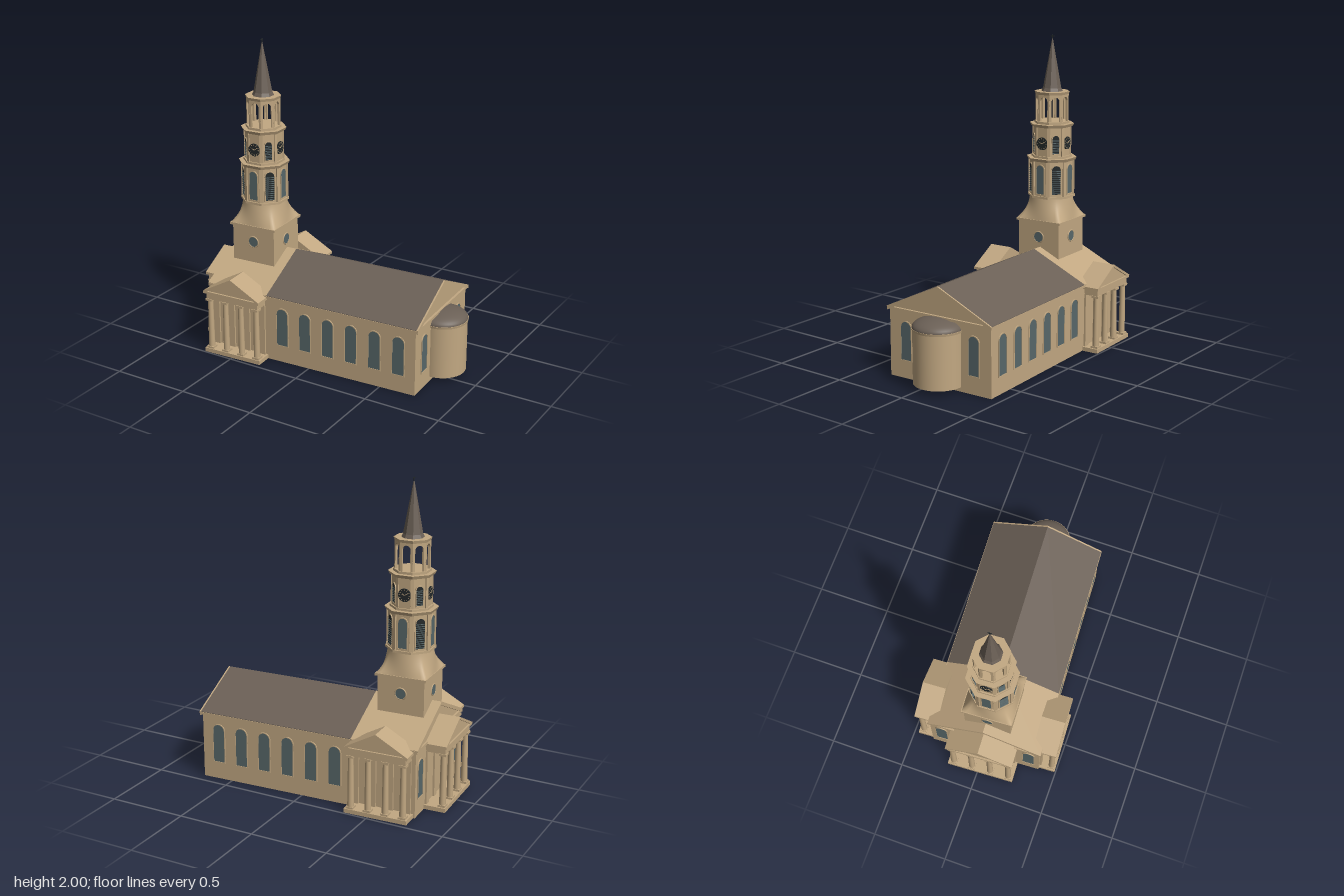
import * as THREE from 'three';

const stone = new THREE.MeshStandardMaterial({ color: 0xc2a882 });
stone.name = 'tan stone';
const slate = new THREE.MeshStandardMaterial({ color: 0x6b6056 });
slate.name = 'dark roof';
const glass = new THREE.MeshStandardMaterial({ color: 0x58686a });
glass.name = 'grey glass';
const dark = new THREE.MeshStandardMaterial({ color: 0x24292a });
dark.name = 'dark louver';

function add(parent, name, geo, mat, x = 0, y = 0, z = 0) {
  const m = new THREE.Mesh(geo, mat);
  m.name = name;
  m.position.set(x, y, z);
  parent.add(m);
  return m;
}

// Box given by its limits
function box(parent, name, mat, x0, x1, y0, y1, z0, z1) {
  return add(parent, name, new THREE.BoxGeometry(x1 - x0, y1 - y0, z1 - z0), mat,
    (x0 + x1) / 2, (y0 + y1) / 2, (z0 + z1) / 2);
}

// Holder turned so that its +z is the outward direction of a wall
function facing(parent, name, angle) {
  const g = new THREE.Group();
  g.name = name;
  g.rotation.y = angle;
  parent.add(g);
  return g;
}

const extrude = (shape, depth) =>
  new THREE.ExtrudeGeometry(shape, { depth, bevelEnabled: false, curveSegments: 10 });
const polygon = (pts) => new THREE.Shape(pts.map(([x, y]) => new THREE.Vector2(x, y)));

// House-shaped outline and chevron-shaped roof outline
const gable = (h, y0, eave, peak) => polygon([[-h, y0], [h, y0], [h, eave], [0, peak], [-h, eave]]);
const chevron = (h, eave, peak, t) =>
  polygon([[-h, eave - t], [0, peak - t], [h, eave - t], [h, eave], [0, peak], [-h, eave]]);

// Round-topped outline from y0 to y1
function arch(w, y0, y1, Type = THREE.Shape) {
  const s = new Type(), r = w / 2;
  s.moveTo(-r, y0);
  s.lineTo(r, y0);
  s.lineTo(r, y1 - r);
  s.absarc(0, y1 - r, r, 0, Math.PI, false);
  s.lineTo(-r, y0);
  return s;
}

function archWindow(wall, x, dist, w, y0, y1, mat = glass, slats = 0) {
  add(wall, 'windowPane', extrude(arch(w, y0, y1), 0.003), mat, x, 0, dist);
  const rim = arch(w + 0.012, y0 - 0.006, y1 + 0.006);
  rim.holes.push(arch(w, y0, y1, THREE.Path));
  add(wall, 'windowFrame', extrude(rim, 0.006), stone, x, 0, dist);
  const step = (y1 - w / 2 - y0) / slats;
  for (let i = 0; i < slats; i++) {
    const y = y0 + step * (i + 0.5);
    box(wall, 'louverSlat', glass, x - w / 2, x + w / 2, y - step * 0.15, y + step * 0.15, dist, dist + 0.006);
  }
}

// Octagon with a flat side to the front and hard edges
function octagon(parent, name, mat, rBottom, rTop, y0, y1) {
  const g = new THREE.CylinderGeometry(rTop, rBottom, y1 - y0, 8).rotateY(Math.PI / 8).toNonIndexed();
  g.computeVertexNormals();
  return add(parent, name, g, mat, 0, (y0 + y1) / 2, 0);
}

// Columned porch; local +z points outward
function porch(parent, name, angle, shift, half, back, front, roofBack) {
  const g = facing(parent, name, angle);
  box(g, 'porchFloor', stone, shift - half, shift + half, 0, 0.027, back, front);
  box(g, 'architrave', stone, shift - half + 0.016, shift + half - 0.016, 0.375, 0.425, back, front - 0.012);
  add(g, 'pediment', extrude(gable(half - 0.01, 0.415, 0.425, 0.535), front - 0.012 - roofBack), stone, shift, 0, roofBack);
  box(g, 'porchCornice', stone, shift - half, shift + half, 0.415, 0.43, back, front);
  add(g, 'porchRoof', extrude(chevron(half, 0.432, 0.546, 0.017), front - roofBack), stone, shift, 0, roofBack);
  for (let i = 0; i < 4; i++) {
    const x = shift + (i - 1.5) * (half * 2 - 0.07) / 3, z = front - 0.03;
    add(g, 'column', new THREE.CylinderGeometry(0.017, 0.021, 0.35, 16), stone, x, 0.2, z);
    box(g, 'columnBase', stone, x - 0.024, x + 0.024, 0.025, 0.04, z - 0.024, z + 0.024);
    box(g, 'columnCapital', stone, x - 0.023, x + 0.023, 0.362, 0.377, z - 0.023, z + 0.023);
    box(g, 'pilaster', stone, x - 0.02, x + 0.02, 0.02, 0.38, back - 0.01, back + 0.012);
  }
}

// Square foot that rounds into a drum
function bellGeometry(y0, y1) {
  const n = 64, rows = 10, pos = [], idx = [];
  for (let j = 0; j <= rows; j++) {
    const t = j / rows, base = 0.162 - 0.022 * t;
    for (let i = 0; i < n; i++) {
      const a = (i / n) * Math.PI * 2, s = Math.sin(a), c = Math.cos(a);
      const corner = 1 / Math.max(Math.abs(s), Math.abs(c)) - 1;
      const r = base * (1 + corner * (1 - t) ** 2);
      pos.push(r * s, y0 + (y1 - y0) * t, r * c);
      if (j < rows) {
        const p = j * n + i, q = j * n + (i + 1) % n;
        idx.push(p, q, q + n, p, q + n, p + n);
      }
    }
  }
  const g = new THREE.BufferGeometry();
  g.setAttribute('position', new THREE.Float32BufferAttribute(pos, 3));
  g.setIndex(idx);
  g.computeVertexNormals();
  return g;
}

function clock(wall, y, dist) {
  const face = add(wall, 'clockFace', new THREE.CylinderGeometry(0.041, 0.041, 0.006, 32).rotateX(Math.PI / 2), dark, 0, y, dist);
  for (let i = 0; i < 12; i++) {
    const a = i * Math.PI / 6;
    const mark = add(face, 'hourMark', new THREE.BoxGeometry(0.003, 0.008, 0.002), stone, Math.sin(a) * 0.033, Math.cos(a) * 0.033, 0.004);
    mark.rotation.z = -a;
  }
  for (const [len, a] of [[0.026, 1.0], [0.018, -1.1]]) {
    const hand = add(face, 'clockHand', new THREE.BoxGeometry(0.004, len, 0.002), stone, Math.sin(a) * len / 2, Math.cos(a) * len / 2, 0.004);
    hand.rotation.z = -a;
  }
}

function buildTower(parent) {
  const t = new THREE.Group();
  t.name = 'tower';
  t.position.z = 0.012;
  parent.add(t);

  // Square base with round windows
  box(t, 'towerBase', stone, -0.153, 0.153, 0.45, 0.79, -0.153, 0.153);
  box(t, 'towerCornice', stone, -0.167, 0.167, 0.788, 0.804, -0.167, 0.167);
  add(t, 'bell', bellGeometry(0.804, 0.95), stone);

  // Two closed octagonal stages
  octagon(t, 'lowerStageFoot', stone, 0.157, 0.157, 0.945, 0.96);
  octagon(t, 'lowerStage', stone, 0.147, 0.147, 0.955, 1.195);
  octagon(t, 'lowerStageCornice', stone, 0.156, 0.166, 1.188, 1.208);
  octagon(t, 'upperStageFoot', stone, 0.135, 0.135, 1.205, 1.222);
  octagon(t, 'upperStage', stone, 0.125, 0.125, 1.21, 1.415);
  octagon(t, 'upperStageCornice', stone, 0.137, 0.147, 1.41, 1.43);
  octagon(t, 'belfryFloor', stone, 0.116, 0.116, 1.425, 1.445);

  const k = Math.cos(Math.PI / 8);
  for (let i = 0; i < 8; i++) {
    const wall = facing(t, 'towerSide', i * Math.PI / 4), main = i % 2 === 0;
    if (main) {
      const ring = new THREE.TorusGeometry(0.036, 0.004, 8, 32);
      add(wall, 'roundWindow', new THREE.CylinderGeometry(0.035, 0.035, 0.006, 32).rotateX(Math.PI / 2), glass, 0, 0.69, 0.153);
      add(wall, 'roundWindowFrame', ring, stone, 0, 0.69, 0.154);
      clock(wall, 1.305, 0.125 * k + 0.003);
    } else {
      archWindow(wall, 0, 0.125 * k, 0.044, 1.24, 1.36, dark, 9);
    }
    archWindow(wall, 0, 0.147 * k, 0.058, 0.975, 1.165, main ? glass : dark, main ? 0 : 12);
    // Open belfry panel
    const panel = polygon([[-0.042, 1.44], [0.042, 1.44], [0.042, 1.625], [-0.042, 1.625]]);
    panel.holes.push(arch(0.054, 1.445, 1.605, THREE.Path));
    add(wall, 'belfryArch', extrude(panel, 0.015), stone, 0, 0, 0.086);
    // Corner strips
    const corner = facing(t, 'towerCorner', (i + 0.5) * Math.PI / 4);
    box(corner, 'lowerCornerStrip', stone, -0.012, 0.012, 0.955, 1.19, 0.135, 0.151);
    box(corner, 'upperCornerStrip', stone, -0.01, 0.01, 1.215, 1.412, 0.113, 0.128);
  }

  // Belfry cap, spire and finial
  octagon(t, 'belfryCornice', stone, 0.11, 0.116, 1.62, 1.638);
  octagon(t, 'spireFoot', slate, 0.071, 0.06, 1.637, 1.66);
  octagon(t, 'spire', slate, 0.06, 0.003, 1.66, 1.975);
  add(t, 'finialRod', new THREE.CylinderGeometry(0.003, 0.003, 0.04, 8), dark, 0, 1.98, 0);
  box(t, 'weatherVane', dark, -0.002, 0.002, 1.99, 1.996, -0.013, 0.013);
}

export function createModel() {
  const root = new THREE.Group();
  root.name = 'church';
  const c = new THREE.Group();
  c.name = 'building';
  c.position.set(-0.54, 0, 0.002);
  c.rotation.y = 0.05;
  root.add(c);

  // Long body; in this holder local z runs along the building
  const long = facing(c, 'nave', Math.PI / 2);
  add(long, 'naveWalls', extrude(gable(0.373, 0, 0.43, 0.605), 1.462), stone, 0, 0, -0.2);
  add(long, 'eavesCornice', new THREE.BoxGeometry(0.772, 0.016, 1.49), stone, 0, 0.435, 0.532);
  add(long, 'vestibuleRoof', extrude(chevron(0.383, 0.446, 0.626, 0.024), 0.438), stone, 0, 0, -0.215);
  add(long, 'naveRoof', extrude(chevron(0.383, 0.446, 0.626, 0.02), 1.047), slate, 0, 0, 0.223);
  add(long, 'rakedCornice', extrude(chevron(0.383, 0.446, 0.626, 0.026), 0.01), stone, 0, 0, 1.27);

  // Windows along both sides and on the end walls
  for (const s of [1, -1]) {
    const side = facing(c, 'sideWindows', s > 0 ? 0 : Math.PI);
    for (let i = 0; i < 6; i++) archWindow(side, s * (0.333 + i * 0.163), 0.373, 0.078, 0.117, 0.37);
    archWindow(long, s * 0.25, 1.262, 0.075, 0.117, 0.36);
  }
  const west = facing(c, 'endWindows', -Math.PI / 2);
  for (const s of [1, -1]) archWindow(west, s * 0.3, 0.2, 0.075, 0.117, 0.36);

  // Three porches
  porch(c, 'frontPorch', 0, 0.017, 0.206, 0.373, 0.482, 0.325);
  porch(c, 'backPorch', Math.PI, -0.017, 0.206, 0.373, 0.482, 0.325);
  porch(c, 'endPorch', -Math.PI / 2, 0, 0.226, 0.2, 0.338, 0.195);

  // Rounded apse with a shallow dome
  add(c, 'apseWall', new THREE.CylinderGeometry(0.157, 0.157, 0.34, 48), stone, 1.27, 0.2, 0);
  add(c, 'apseCornice', new THREE.CylinderGeometry(0.163, 0.16, 0.014, 48), stone, 1.27, 0.373, 0);
  const dome = new THREE.SphereGeometry(0.16, 48, 12, 0, Math.PI * 2, 0, Math.PI / 2).scale(1, 0.375, 1);
  add(c, 'apseDome', dome, slate, 1.27, 0.379, 0);

  buildTower(c);
  return root;
}
